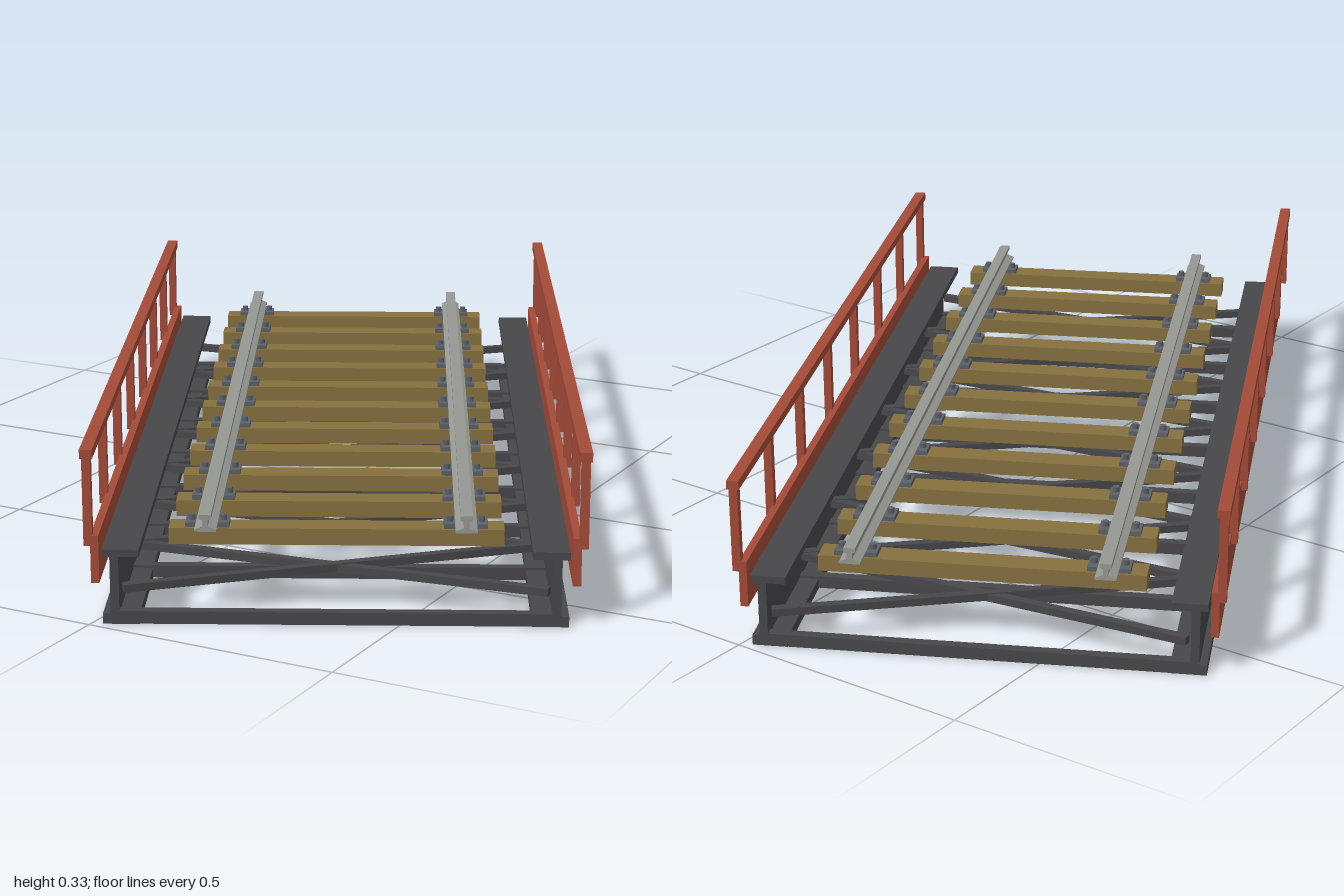
import * as THREE from 'three';

const mat = (name, hex) => {
  const m = new THREE.MeshStandardMaterial({ color: hex });
  m.name = name;
  return m;
};

export function createModel() {
  const red = mat('red paint', 0xa34a37);
  const steel = mat('dark steel', 0x47474b);
  const wood = mat('timber', 0x86703f);
  const railGrey = mat('rail steel', 0x959792);
  const plateGrey = mat('chair iron', 0x5c6067);

  const model = new THREE.Group();
  model.name = 'railwayBridge';
  // the deck lies askew on the ground plane
  const bridge = new THREE.Group();
  bridge.name = 'bridge';
  bridge.rotation.y = Math.atan2(1, 2);
  model.add(bridge);

  // box given by its limits on each axis
  const box = (name, m, [x0, x1], [y0, y1], [z0, z1], parent = bridge) => {
    const mesh = new THREE.Mesh(new THREE.BoxGeometry(Math.abs(x1 - x0), y1 - y0, z1 - z0), m);
    mesh.position.set((x0 + x1) / 2, (y0 + y1) / 2, (z0 + z1) / 2);
    mesh.name = name;
    parent.add(mesh);
    return mesh;
  };

  // level bar between two points in plan
  const bar = (name, x0, z0, x1, z1, y, w, h) => {
    const len = Math.hypot(x1 - x0, z1 - z0);
    const mesh = new THREE.Mesh(new THREE.BoxGeometry(w, h, len), steel);
    mesh.position.set((x0 + x1) / 2, y, (z0 + z1) / 2);
    mesh.rotation.y = Math.atan2(x1 - x0, z1 - z0);
    mesh.name = name;
    bridge.add(mesh);
  };

  const L = 0.889;
  const panels = 7;
  const node = i => -0.88 + (1.76 * i) / panels;

  for (const s of [-1, 1]) {
    const sx = (a, b) => [s * a, s * b];

    // main girder: web with two flanges
    box('girderBottomFlange', steel, sx(0.355, 0.422), [0, 0.02], [-L, L]);
    box('girderWeb', steel, sx(0.392, 0.408), [0.02, 0.128], [-L, L]);
    box('girderTopFlange', steel, sx(0.355, 0.422), [0.128, 0.142], [-L, L]);

    // side plate and railing
    box('sidePlate', red, sx(0.427, 0.442), [0.078, 0.168], [-L, L]);
    box('handrail', red, sx(0.434, 0.457), [0.313, 0.33], [-0.892, 0.892]);
    for (let i = 0; i <= panels; i++) {
      const z = -0.879 + (1.758 * i) / panels;
      box('railingPost', red, sx(0.438, 0.454), [0.148, 0.313], [z - 0.009, z + 0.009]);
    }
  }

  // floor bracing: cross beams and crossed diagonals
  for (let i = 0; i <= panels; i++) {
    bar('crossBeam', -0.395, node(i), 0.395, node(i), 0.013, 0.02, 0.024);
    if (i < panels) {
      bar('diagonalBrace', -0.385, node(i), 0.385, node(i + 1), 0.065, 0.018, 0.015);
      bar('diagonalBrace', 0.385, node(i), -0.385, node(i + 1), 0.067, 0.018, 0.015);
    }
  }

  // sleepers with rail chairs
  const boltGeo = new THREE.CylinderGeometry(0.007, 0.007, 0.01, 6);
  for (let i = 0; i < 11; i++) {
    const sleeper = new THREE.Group();
    sleeper.name = 'sleeper';
    sleeper.position.z = -0.812 + 0.1624 * i;
    bridge.add(sleeper);
    box('sleeperBeam', wood, [-0.305, 0.305], [0.136, 0.167], [-0.026, 0.026], sleeper);
    for (const s of [-1, 1]) {
      box('railChair', plateGrey, [s * 0.195, s * 0.275], [0.167, 0.176], [-0.021, 0.021], sleeper);
      for (const d of [-0.029, 0.029]) {
        const bolt = new THREE.Mesh(boltGeo, plateGrey);
        bolt.name = 'chairBolt';
        bolt.position.set(s * 0.235 + d, 0.181, 0);
        sleeper.add(bolt);
      }
    }
  }

  // running rails with foot, web and head
  const half = [[0.02, 0], [0.02, 0.004], [0.005, 0.01], [0.005, 0.021], [0.011, 0.024], [0.011, 0.032]];
  const profile = [...half, ...half.map(([x, y]) => [-x, y]).reverse()];
  const railGeo = new THREE.ExtrudeGeometry(
    new THREE.Shape(profile.map(([x, y]) => new THREE.Vector2(x, y))),
    { depth: 1.766, bevelEnabled: false });
  for (const s of [-1, 1]) {
    const rail = new THREE.Mesh(railGeo, railGrey);
    rail.name = 'runningRail';
    rail.position.set(s * 0.235, 0.175, -0.883);
    bridge.add(rail);
  }

  return model;
}
